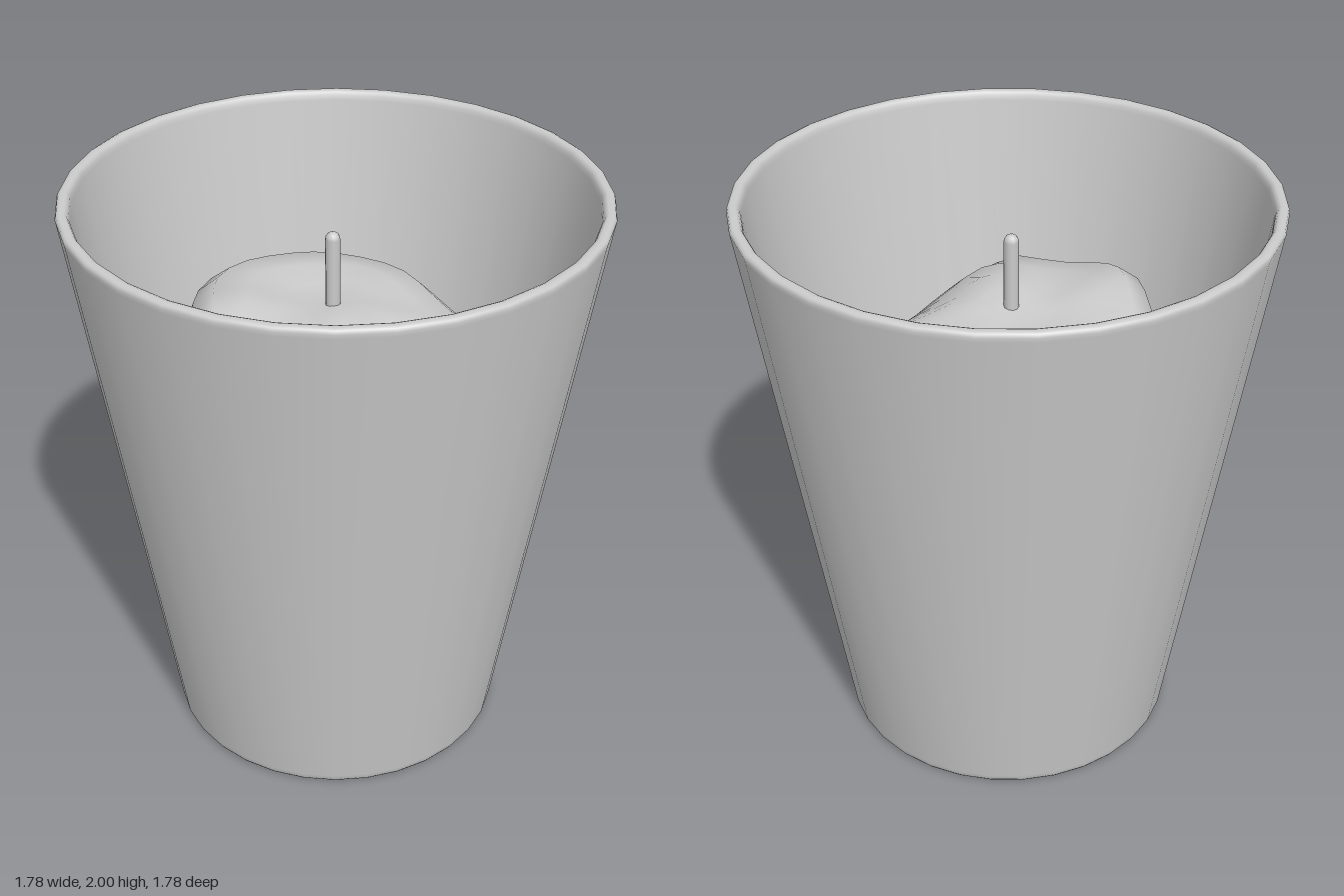
import * as THREE from 'three';
import { mergeVertices } from 'three/addons/utils/BufferGeometryUtils.js';

const material = new THREE.MeshStandardMaterial({ color: 0xcccccc });
const points = (list) => list.map(([r, y]) => new THREE.Vector2(r, y));

function addMesh(group, geometry, name) {
  const mesh = new THREE.Mesh(geometry, material);
  mesh.name = name;
  group.add(mesh);
  return mesh;
}

// Tapered cup: underside, outer wall, rounded rim, inner wall and floor
function cupGeometry() {
  return new THREE.LatheGeometry(points([
    [0, 0], [0.565, 0], [0.575, 0.002], [0.582, 0.012], [0.585, 0.03],
    [0.888, 1.97], [0.891, 1.985], [0.887, 1.996], [0.878, 2],
    [0.863, 2], [0.854, 1.996], [0.848, 1.985], [0.845, 1.97],
    [0.598, 0.35], [0.592, 0.325], [0.58, 0.315], [0.56, 0.31], [0, 0.31],
  ]), 32);
}

// Candle body whose melted top is uneven, higher at the back right
function waxGeometry() {
  const lathe = new THREE.LatheGeometry(points([
    [0.565, 0.31], [0.565, 0.8], [0.565, 1.25], [0.555, 1.38], [0.52, 1.49],
    [0.44, 1.56], [0.32, 1.585], [0.2, 1.59], [0.1, 1.59], [0, 1.59],
  ]), 32);
  lathe.deleteAttribute('uv');
  lathe.deleteAttribute('normal');
  const geometry = mergeVertices(lathe, 1e-4);
  const p = geometry.attributes.position;
  for (let i = 0; i < p.count; i++) {
    const x = p.getX(i), y = p.getY(i), z = p.getZ(i);
    const melt = THREE.MathUtils.smoothstep(y, 1.2, 1.5);
    const angle = Math.atan2(z, x);
    const lump = 0.018 * Math.sin(9 * x + 2) * Math.cos(8 * z - 1) + 0.012 * Math.sin(13 * z + 5 * x);
    const slump = z > 0.25 ? -0.45 * (z - 0.25) : 0;
    const shrink = 1 - 0.04 * melt * (1 + Math.sin(5 * angle + 1));
    p.setXYZ(i, x * shrink, y + melt * (lump + slump - 0.09 * (x + z)), z * shrink);
  }
  geometry.computeVertexNormals();
  return geometry;
}

// Thin upright wick with a rounded tip
function wickGeometry() {
  const profile = [[0.025, 1.4], [0.025, 1.835]];
  for (let i = 1; i <= 4; i++) {
    const a = (i / 4) * Math.PI / 2;
    profile.push([0.025 * Math.cos(a), 1.835 + 0.025 * Math.sin(a)]);
  }
  return new THREE.LatheGeometry(points(profile), 10);
}

export function createModel() {
  const group = new THREE.Group();
  group.name = 'candleInCup';
  addMesh(group, cupGeometry(), 'cup');
  addMesh(group, waxGeometry(), 'wax');
  addMesh(group, wickGeometry(), 'wick').position.set(-0.005, 0, -0.01);
  return group;
}
